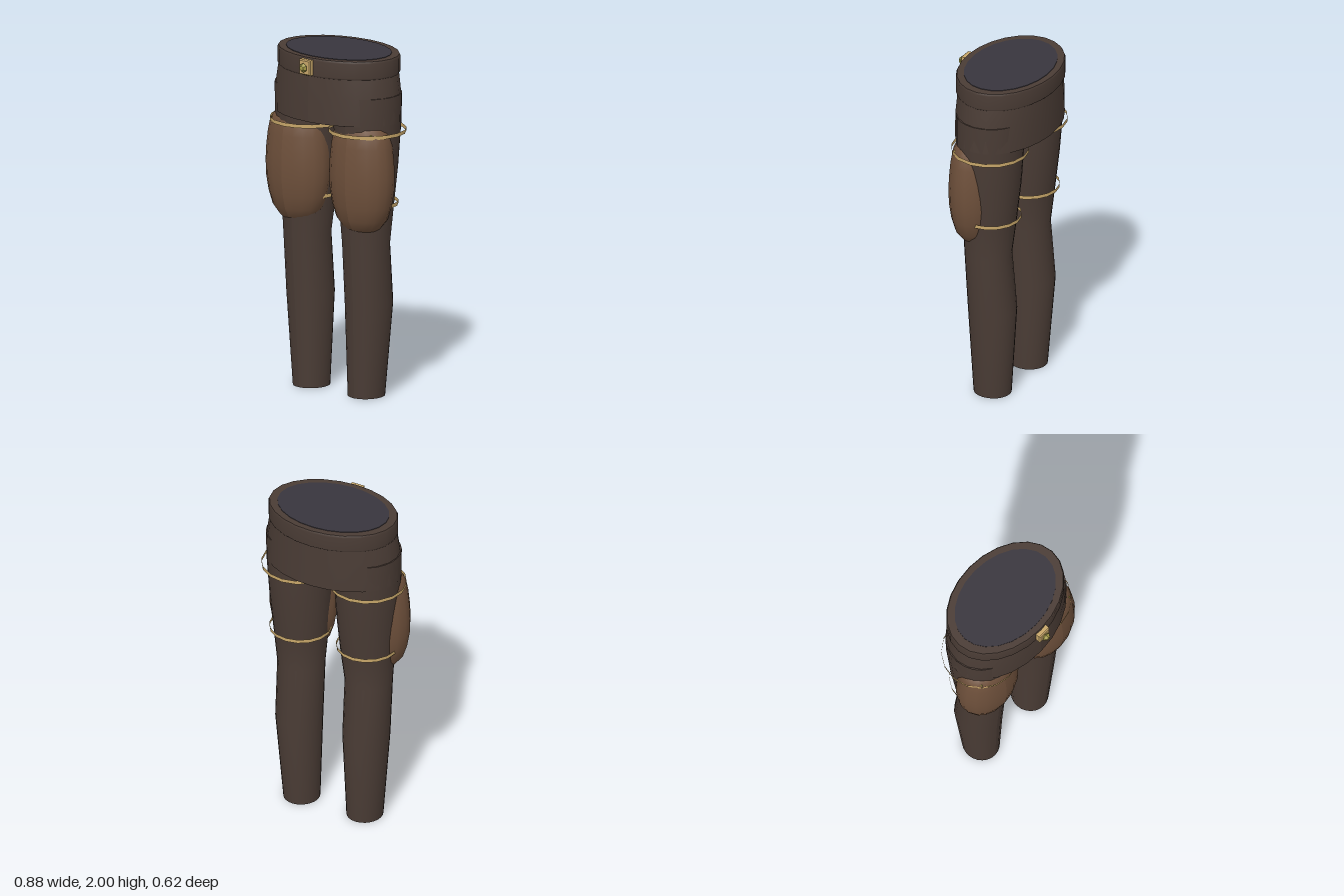
import * as THREE from 'three';

const mat = (color, extra = {}) => new THREE.MeshStandardMaterial({ color, ...extra });

// Capped elliptical loft; each row is [y, centreX, centreZ, radiusX, radiusZ], bottom to top.
function loft(rows, sides) {
  const n = rows.length - 1;
  const geo = new THREE.CylinderGeometry(1, 1, 1, sides, n);
  const p = geo.attributes.position;
  for (let i = 0; i < p.count; i++) {
    const [y, cx, cz, rx, rz] = rows[Math.round((p.getY(i) + 0.5) * n)];
    p.setXYZ(i, cx + p.getX(i) * rx, y, cz + p.getZ(i) * rz);
  }
  geo.computeVertexNormals();
  return geo;
}

export function createModel() {
  const model = new THREE.Group();
  model.name = 'armouredTrousers';
  const cloth = mat(0x4a3c35);
  const leather = mat(0x6e503b);
  const lining = mat(0x38353d);
  const strapGold = mat(0xc8a76a, { side: THREE.DoubleSide });
  const brass = mat(0xc8a76a, { flatShading: true });
  const stud = mat(0xa39a48, { flatShading: true });

  const add = (parent, name, geo, material, x = 0, y = 0, z = 0) => {
    const mesh = new THREE.Mesh(geo, material);
    mesh.name = name;
    mesh.position.set(x, y, z);
    parent.add(mesh);
    return mesh;
  };

  // Hips and belt
  add(model, 'hips', loft([
    [1.62, 0, -0.025, 0.41, 0.27],
    [1.77, 0, -0.025, 0.407, 0.27],
    [1.9, 0, -0.028, 0.385, 0.266],
  ], 24), cloth);
  add(model, 'belt', loft([
    [1.89, 0, -0.03, 0.386, 0.273],
    [1.9, 0, -0.03, 0.392, 0.28],
    [1.985, 0, -0.03, 0.392, 0.28],
    [1.997, 0, -0.03, 0.386, 0.274],
  ], 24), cloth);
  add(model, 'waistLining', loft([
    [1.96, 0, -0.03, 0.338, 0.238],
    [2.0, 0, -0.03, 0.338, 0.238],
  ], 24), lining);

  // Buckle: bevelled plate with a hexagonal stud
  const plate = new THREE.Shape();
  plate.moveTo(-0.034, -0.038);
  plate.lineTo(0.034, -0.038);
  plate.lineTo(0.034, 0.038);
  plate.lineTo(-0.034, 0.038);
  plate.closePath();
  add(model, 'bucklePlate', new THREE.ExtrudeGeometry(plate, {
    depth: 0.03, bevelSize: 0.006, bevelThickness: 0.007, bevelSegments: 1,
  }), brass, 0, 1.944, 0.24);
  const knob = new THREE.LatheGeometry([
    [0, 0], [0.018, 0], [0.028, 0.012], [0.014, 0.03], [0, 0.032],
  ].map(([r, y]) => new THREE.Vector2(r, y)), 6);
  knob.rotateX(Math.PI / 2);
  add(model, 'buckleStud', knob, stud, 0, 1.944, 0.274);

  for (const s of [1, -1]) {
    const leg = new THREE.Group();
    leg.name = s > 0 ? 'leftLeg' : 'rightLeg';
    model.add(leg);

    // Trouser leg, tapering to the knee and swelling at the calf
    add(leg, 'trouserLeg', loft([
      [0.005, 0.203, -0.03, 0.104, 0.11],
      [0.55, 0.216, -0.037, 0.135, 0.142],
      [0.9, 0.217, -0.01, 0.138, 0.135],
      [1.1, 0.214, -0.017, 0.156, 0.153],
      [1.35, 0.214, -0.021, 0.178, 0.178],
      [1.6, 0.217, -0.022, 0.19, 0.197],
      [1.78, 0.218, -0.025, 0.192, 0.199],
    ].map(([y, x, z, a, b]) => [y, x * s, z, a, b]), 24), cloth);

    // Leather thigh guard, sunk into the front of the thigh
    const guard = [
      [0.965, 0.02], [0.975, 0.35], [1.005, 0.57], [1.06, 0.79], [1.14, 0.92],
      [1.23, 0.995], [1.32, 1.01], [1.4, 0.99], [1.49, 0.94], [1.56, 0.865], [1.6, 0.74], [1.62, 0.5],
    ];
    add(leg, 'thighGuard', loft(
      guard.map(([y, k]) => [y, 0.235 * s, 0.048, 0.205 * k, 0.15 * k]), 18), leather);

    // Thin strap hoops
    const hoop = (name, r, y, x) => add(leg, name,
      new THREE.CylinderGeometry(r, r, 0.022, 16, 1, true), strapGold, x * s, y, -0.022);
    hoop('upperStrap', 0.222, 1.562, 0.217);
    hoop('lowerStrap', 0.178, 1.138, 0.215);

    // Small rivet at the guard's upper edge
    add(leg, 'rivet', new THREE.SphereGeometry(0.013, 6, 4), stud, 0.36 * s, 1.565, 0.12);
  }
  return model;
}
